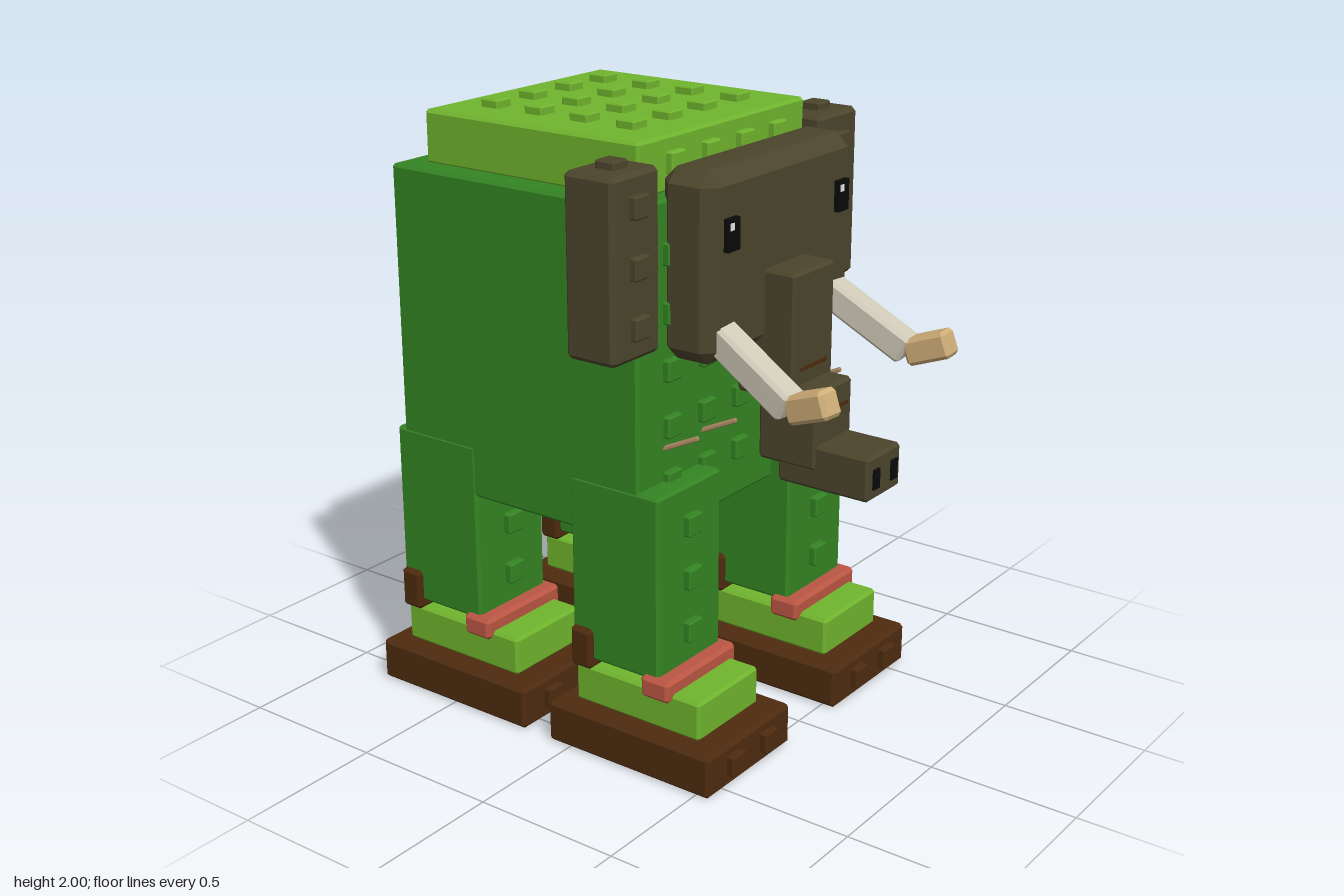
import * as THREE from 'three';
import { ConvexGeometry } from 'three/addons/geometries/ConvexGeometry.js';

const COLORS = {
  green: 0x348423, lime: 0x6fb42d, olive: 0x4b452c, darkBrown: 0x4e2b0f, coral: 0xbb5643,
  ivory: 0xcfc9b8, tan: 0xcfae78, straw: 0xa58460, black: 0x0a0a0a, white: 0xe8e8e8,
};

// Box with all edges cut off by c
function chamferBox(w, h, d, c) {
  const points = [];
  for (const sx of [-1, 1]) for (const sy of [-1, 1]) for (const sz of [-1, 1]) {
    const x = w / 2, y = h / 2, z = d / 2;
    points.push(
      new THREE.Vector3(sx * x, sy * (y - c), sz * (z - c)),
      new THREE.Vector3(sx * (x - c), sy * y, sz * (z - c)),
      new THREE.Vector3(sx * (x - c), sy * (y - c), sz * z));
  }
  return new ConvexGeometry(points);
}

export function createModel() {
  const root = new THREE.Group();
  root.name = 'blockElephant';
  const mats = {};
  for (const [name, color] of Object.entries(COLORS)) {
    mats[name] = new THREE.MeshStandardMaterial({ color });
    mats[name].name = name;
  }

  const group = (name, parent = root) => {
    const g = new THREE.Group();
    g.name = name;
    parent.add(g);
    return g;
  };
  const add = (parent, name, geometry, mat, x = 0, y = 0, z = 0) => {
    const m = new THREE.Mesh(geometry, mats[mat]);
    m.name = name;
    m.position.set(x, y, z);
    parent.add(m);
    return m;
  };
  // Block given by its ranges along x, y and z
  const block = (parent, name, mat, [x0, x1], [y0, y1], [z0, z1], c = 0.01) =>
    add(parent, name,
      c ? chamferBox(x1 - x0, y1 - y0, z1 - z0, c) : new THREE.BoxGeometry(x1 - x0, y1 - y0, z1 - z0),
      mat, (x0 + x1) / 2, (y0 + y1) / 2, (z0 + z1) / 2);
  // Square stud standing 0.025 out of a face
  const studGeometry = chamferBox(0.07, 0.07, 0.05, 0.005);
  const stud = (parent, mat, axis, x, y, z) => {
    const m = add(parent, 'stud', studGeometry, mat, x, y, z);
    if (axis === 'x') m.rotation.y = Math.PI / 2;
    if (axis === 'y') m.rotation.x = Math.PI / 2;
  };
  // Square bar between two points
  const bar = (parent, name, mat, a, b, w, h, c) => {
    const p = new THREE.Vector3(...a), q = new THREE.Vector3(...b);
    const m = add(parent, name, chamferBox(w, h, p.distanceTo(q), c), mat);
    m.position.copy(p).add(q).multiplyScalar(0.5);
    m.lookAt(q);
  };

  // Body with studs on the front and the left side
  const body = group('body');
  block(body, 'torso', 'green', [-0.522, 0.522], [0.745, 1.805], [-0.735, 0.24]);
  for (const y of [0.915, 1.095, 1.277, 1.458, 1.64]) {
    for (const x of [-0.36, -0.18, 0, 0.18, 0.36]) stud(body, 'green', 'z', x, y, 0.238);
    for (const z of [-0.61, -0.43, -0.25, -0.07]) stud(body, 'green', 'x', 0.52, y, z);
  }

  // Lime slab on the back
  const slab = group('backSlab');
  block(slab, 'slab', 'lime', [-0.44, 0.44], [1.8, 1.973], [-0.66, 0.185]);
  for (const x of [-0.27, -0.09, 0.09, 0.27]) {
    stud(slab, 'lime', 'z', x, 1.89, 0.185);
    for (const z of [-0.51, -0.33, -0.15, 0.03]) stud(slab, 'lime', 'y', x, 1.975, z);
  }

  // Straw wisps on the chest
  const wisps = group('straw');
  for (const [x, y] of [[-0.37, 1.05], [-0.17, 1.05], [0.26, 1.05], [0.44, 1.05],
    [0.44, 1.285], [0.44, 1.525], [0.44, 1.79]]) {
    bar(wisps, 'wisp', 'straw', [x - 0.02, y - 0.027, 0.23], [x + 0.02, y + 0.02, 0.34], 0.018, 0.014, 0.003);
  }

  // Legs, cuffs and feet; front and rear pairs
  for (const [pair, dz] of [['front', 0], ['rear', -0.738]]) {
    for (const s of [-1, 1]) {
      const leg = group(pair + (s > 0 ? 'LeftLeg' : 'RightLeg'));
      leg.position.set(s * 0.361, 0, dz);
      block(leg, 'leg', 'green', [-0.164, 0.164], [0.305, 0.92], [-0.026, 0.317]);
      block(leg, 'ankleBand', 'coral', [-0.184, 0.184], [0.25, 0.323], [0.257, 0.367], 0.012);
      block(leg, 'heelClip', 'darkBrown', [-0.184, 0.184], [0.275, 0.413], [-0.023, 0.06], 0.012);
      block(leg, 'sock', 'lime', [-0.161, 0.161], [0.145, 0.277], [-0.018, 0.47]);
      block(leg, 'foot', 'darkBrown', [-0.226, 0.226], [0, 0.143], [-0.085, 0.552], 0.012);
      for (const y of [0.43, 0.61, 0.79]) stud(leg, 'green', 'z', 0, y, 0.318);
      for (const x of [-0.09, 0.09]) stud(leg, 'darkBrown', 'z', x, 0.075, 0.552);
    }
  }

  // Head with eyes
  const head = group('head');
  block(head, 'skull', 'olive', [-0.39, 0.39], [1.31, 1.9], [0.21, 0.413], 0.045);
  for (const s of [-1, 1]) {
    const x = s * 0.3;
    block(head, 'eye', 'black', [x - 0.03, x + 0.03], [1.66, 1.76], [0.408, 0.43], 0);
    block(head, 'eyeGlint', 'white', [x - 0.021, x - 0.003], [1.725, 1.747], [0.428, 0.433], 0);
  }

  // Ears
  for (const s of [-1, 1]) {
    const ear = group(s > 0 ? 'leftEar' : 'rightEar');
    const x = s * 0.54;
    block(ear, 'earPanel', 'olive', [x - 0.113, x + 0.113], [1.353, 1.918], [0.073, 0.257], 0.015);
    for (const y of [1.455, 1.637, 1.818]) stud(ear, 'olive', 'z', x, y, 0.255);
    stud(ear, 'olive', 'y', x, 1.918, 0.165);
  }

  // Stepped trunk with wrinkles and nostrils
  const trunk = group('trunk');
  block(trunk, 'upperTrunk', 'olive', [-0.112, 0.112], [1.152, 1.56], [0.313, 0.522]);
  block(trunk, 'middleTrunk', 'olive', [-0.103, 0.103], [0.943, 1.2], [0.39, 0.602]);
  block(trunk, 'trunkTip', 'olive', [-0.096, 0.096], [0.88, 1.025], [0.46, 0.788]);
  block(trunk, 'wrinkle', 'darkBrown', [-0.073, 0.073], [1.244, 1.257], [0.52, 0.526], 0);
  block(trunk, 'wrinkle', 'darkBrown', [-0.073, 0.073], [1.118, 1.131], [0.6, 0.606], 0);
  for (const x of [-0.052, 0.052]) {
    block(trunk, 'nostril', 'black', [x - 0.017, x + 0.017], [0.917, 0.982], [0.786, 0.795], 0);
  }

  // Tusks
  for (const s of [-1, 1]) {
    const tusk = group(s > 0 ? 'leftTusk' : 'rightTusk');
    bar(tusk, 'tuskBase', 'ivory', [s * 0.3, 1.415, 0.35], [s * 0.337, 1.235, 0.665], 0.092, 0.095, 0.012);
    bar(tusk, 'tuskTip', 'tan', [s * 0.336, 1.237, 0.665], [s * 0.35, 1.29, 0.81], 0.082, 0.088, 0.012);
  }
  // Tips point forward and down where they meet the base, then lift
  for (const s of ['leftTusk', 'rightTusk']) root.getObjectByName(s).getObjectByName('tuskTip').position.y -= 0.006;
  return root;
}
